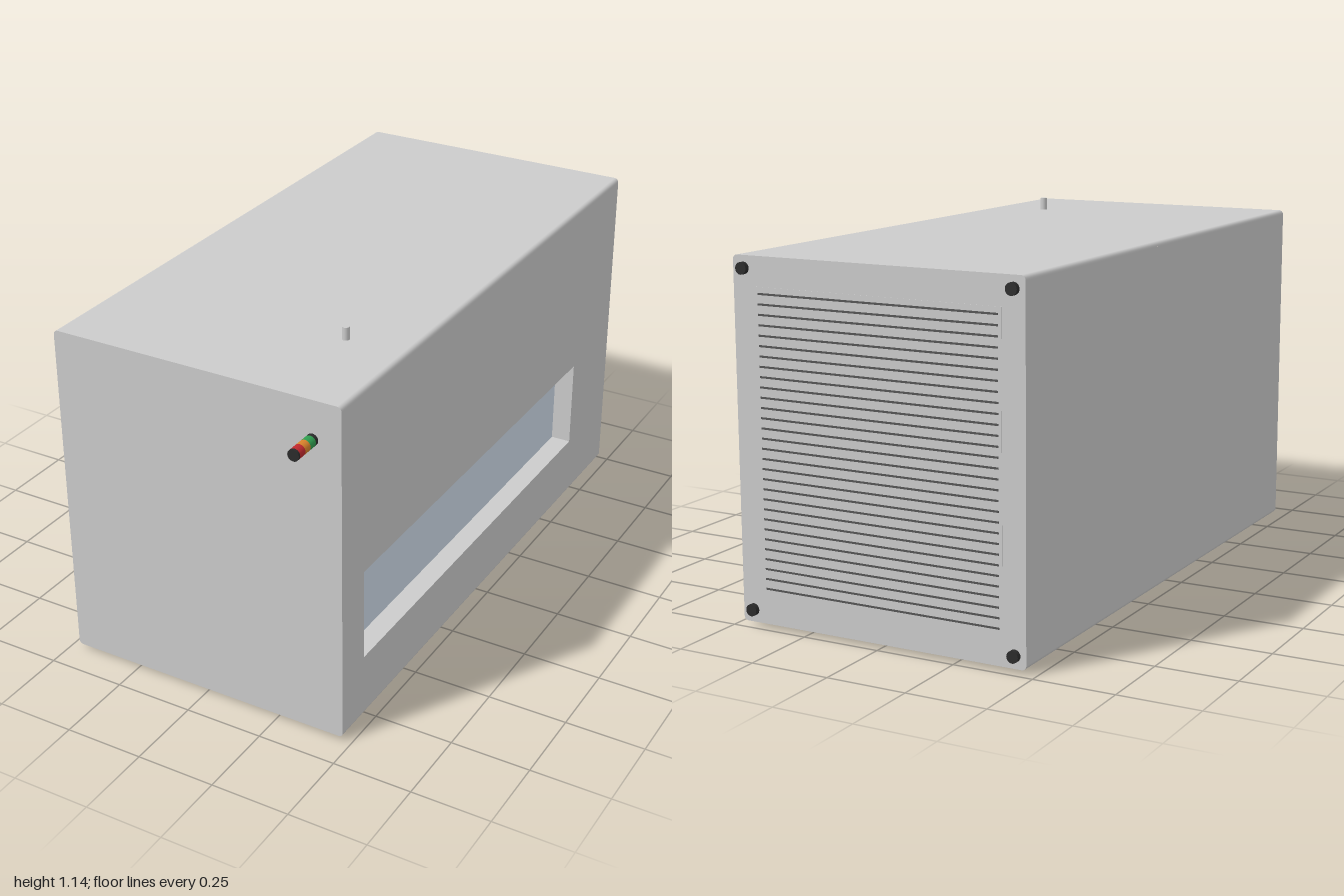
import * as THREE from 'three';
import { mergeGeometries } from 'three/addons/utils/BufferGeometryUtils.js';

const mat = (color) => new THREE.MeshStandardMaterial({ color });
const grey = mat(0xcccccc), dark = mat(0x2b2b2b);

// Cabinet limits and edge radius
const X = 0.473, Y0 = 0.014, Y1 = 1.1, Z0 = -0.985, Z1 = 0.9, R = 0.014;
const MY = (Y0 + Y1) / 2;

function add(parent, name, geometry, material, x = 0, y = 0, z = 0) {
  const mesh = new THREE.Mesh(geometry, material);
  mesh.name = name;
  mesh.position.set(x, y, z);
  parent.add(mesh);
  return mesh;
}

function rect(path, x0, y0, x1, y1) {
  path.moveTo(x0, y0);
  path.lineTo(x1, y0);
  path.lineTo(x1, y1);
  path.lineTo(x0, y1);
  path.closePath();
  return path;
}

// Flat wall facing +z, with an optional rectangular opening
function wall(w, h, hole) {
  const s = rect(new THREE.Shape(), -w / 2, -h / 2, w / 2, h / 2);
  if (hole) s.holes.push(rect(new THREE.Path(), ...hole));
  return new THREE.ShapeGeometry(s);
}

// Box seen from inside, leaving out one face (0..5 = +x -x +y -y +z -z)
function pocket(w, h, d, openFace) {
  const g = new THREE.BoxGeometry(w, h, d);
  const idx = Array.from(g.index.array);
  idx.splice(openFace * 6, 6);
  g.setIndex(idx.reverse());
  g.clearGroups();
  g.computeVertexNormals();
  return g;
}

// Front or back end with rounded corners
function endWall() {
  const s = new THREE.Shape(), a = X - R, b0 = Y0 + R, b1 = Y1 - R, q = Math.PI / 2;
  s.absarc(a, b0, R, -q, 0);
  s.absarc(a, b1, R, 0, q);
  s.absarc(-a, b1, R, q, 2 * q);
  s.absarc(-a, b0, R, 2 * q, 3 * q);
  return new THREE.ShapeGeometry(s, 6);
}

// Dark rectangular surround for the openings underneath
function surround(w, d, rim, h) {
  const s = rect(new THREE.Shape(), -w / 2, -d / 2, w / 2, d / 2);
  s.holes.push(rect(new THREE.Path(), -w / 2 + rim, -d / 2 + rim, w / 2 - rim, d / 2 - rim));
  return new THREE.ExtrudeGeometry(s, { depth: h, bevelEnabled: false }).rotateX(Math.PI / 2);
}

export function createModel() {
  const model = new THREE.Group();
  model.name = 'machineCabinet';
  const H = Y1 - Y0 - 2 * R, W = 2 * (X - R), L = Z1 - Z0, MZ = (Z0 + Z1) / 2, q = Math.PI / 2;

  // Window and bottom slot limits
  const win = { z0: -0.69, z1: 0.775, y0: 0.22, y1: 0.515, depth: 0.07 };
  const slot = { x: 0.155, z0: -0.775, z1: -0.695, depth: 0.12 };

  // Cabinet shell: walls, ends and rounded long edges
  const shell = [
    wall(L, H, [MZ - win.z1, win.y0 - MY, MZ - win.z0, win.y1 - MY]).rotateY(q).translate(X, MY, MZ),
    wall(L, H).rotateY(-q).translate(-X, MY, MZ),
    wall(W, L).rotateX(-q).translate(0, Y1, MZ),
    wall(W, L, [-slot.x, slot.z0 - MZ, slot.x, slot.z1 - MZ]).rotateX(q).translate(0, Y0, MZ),
    endWall().translate(0, 0, Z1),
    endWall().rotateY(Math.PI).translate(0, 0, Z0),
  ];
  [[1, 1, 0], [-1, 1, 1], [-1, -1, 2], [1, -1, 3]].forEach(([sx, sy, k]) => {
    shell.push(new THREE.CylinderGeometry(R, R, L, 6, 1, true, 0, q)
      .rotateX(-q).rotateZ(q * (k + 1))
      .translate(sx * (X - R), sy > 0 ? Y1 - R : Y0 + R, MZ));
  });
  // Find the quarter turn that makes each rounded edge bulge away from the centre
  shell.slice(6).forEach((g, i) => {
    const cx = [1, -1, -1, 1][i] * (X - R), cy = i < 2 ? Y1 - R : Y0 + R;
    for (let n = 0; n < 4; n++) {
      g.computeBoundingBox();
      const c = g.boundingBox.getCenter(new THREE.Vector3());
      if ((c.x - cx) * cx > 0 && (c.y - cy) * (cy - MY) > 0) break;
      g.translate(-cx, -cy, 0).rotateZ(q).translate(cx, cy, 0);
    }
  });
  add(model, 'cabinetShell', mergeGeometries(shell), grey);

  // Recessed side window
  const wl = win.z1 - win.z0, wh = win.y1 - win.y0, wz = (win.z0 + win.z1) / 2, wy = (win.y0 + win.y1) / 2;
  add(model, 'windowRecess', pocket(win.depth, wh, wl, 0), grey, X - win.depth / 2, wy, wz);
  add(model, 'windowPane', new THREE.BoxGeometry(0.004, wh, wl), mat(0xcfdcea), X - win.depth + 0.002, wy, wz);

  // Output slot underneath
  const sz = (slot.z0 + slot.z1) / 2;
  add(model, 'bottomSlot', pocket(slot.x * 2, slot.depth, slot.z1 - slot.z0, 3), grey, 0, Y0 + slot.depth / 2, sz);
  add(model, 'slotSurround', surround(0.35, 0.115, 0.0175, 0.007), dark, 0, Y0, sz);

  // Display underneath
  add(model, 'displaySurround', surround(0.28, 0.16, 0.018, 0.014), dark, -0.22, Y0, 0.48);
  add(model, 'displayScreen', new THREE.BoxGeometry(0.246, 0.006, 0.126), mat(0x22332f), -0.22, Y0 - 0.003, 0.48);

  // Back ventilation panel with fine slits
  add(model, 'ventPanel', new THREE.BoxGeometry(0.8, 0.91, 0.002), grey, 0, MY, Z0);
  const vents = new THREE.Group();
  vents.name = 'ventSlits';
  for (let i = 0; i < 30; i++) {
    add(vents, 'ventSlit', new THREE.BoxGeometry(0.78, 0.006, 0.002), mat(0x555555), 0, MY - 0.435 + i * 0.03, Z0 - 0.0006);
  }
  model.add(vents);

  // Four round feet on the back
  for (const x of [-0.437, 0.437]) {
    for (const y of [0.052, 1.063]) {
      add(model, 'backFoot', new THREE.CylinderGeometry(0.018, 0.018, 0.015, 24).rotateX(q), dark, x, y, Z0 - 0.0075);
    }
  }

  // Signal light on the front: base, green, amber, red, cap
  const light = new THREE.Group();
  light.name = 'signalLight';
  let z = Z1;
  [['lightBase', 0.012, 0x2b2b2b], ['greenLamp', 0.027, 0x2f9e4f], ['amberLamp', 0.027, 0xd9822b],
    ['redLamp', 0.027, 0xc0282d], ['lightCap', 0.007, 0x2b2b2b]].forEach(([name, len, color]) => {
    add(light, name, new THREE.CylinderGeometry(0.018, 0.018, len, 32).rotateX(q), mat(color), 0.383, 0.98, z + len / 2);
    z += len;
  });
  model.add(light);

  // Short pipe stub on top
  add(model, 'topStub', new THREE.CylinderGeometry(0.011, 0.011, 0.04, 24), grey, 0.28, Y1 + 0.02, 0.54);

  return model;
}
